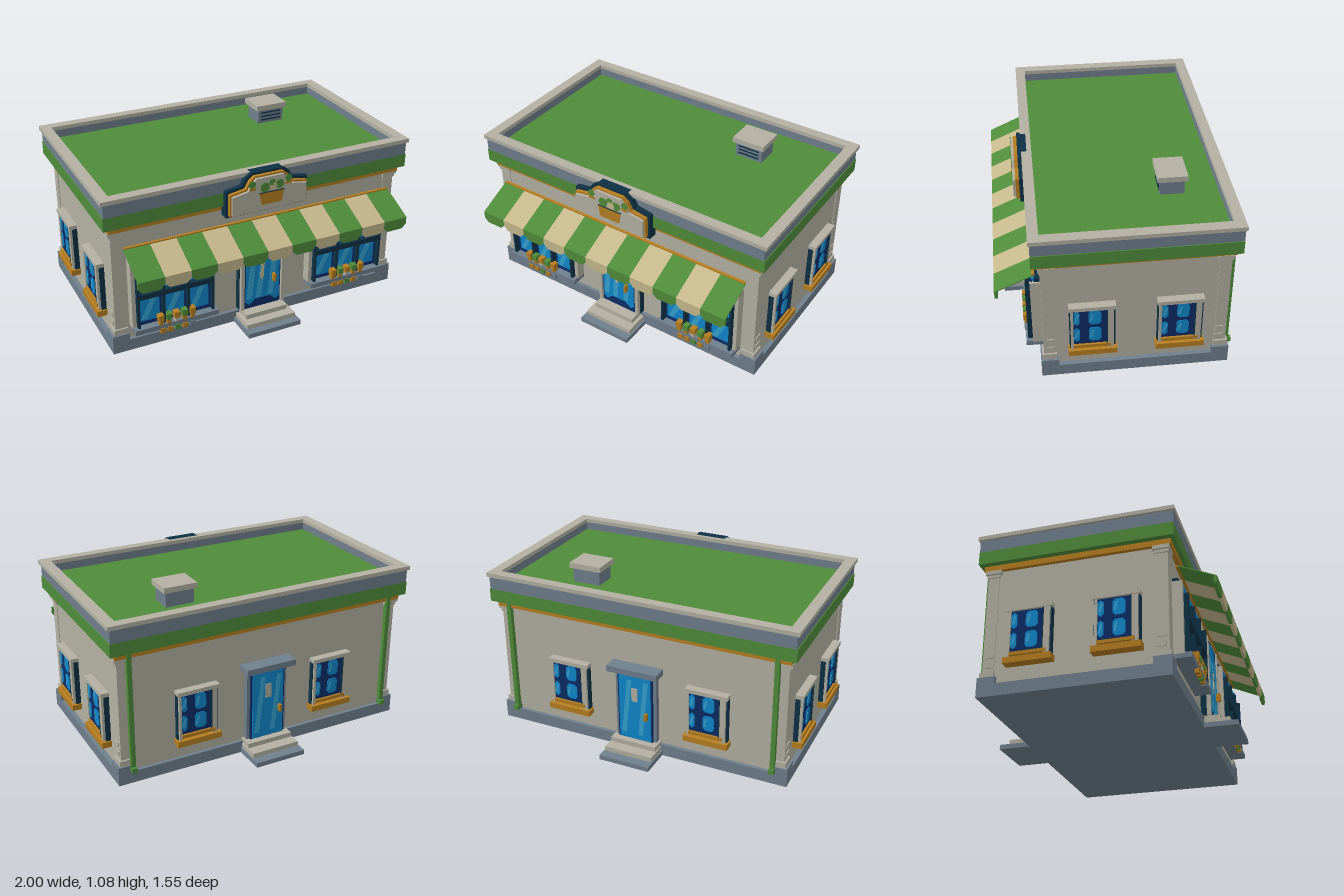
import * as THREE from 'three';

const M = {};
for (const [name, hex] of Object.entries({
  stone: 0xb3b0a2, slate: 0x6f7f8d, green: 0x4f8c3a, gold: 0xb67e20, navy: 0x0e3044,
  deepBlue: 0x0c2c66, blue: 0x0f88cc, lightBlue: 0x35a2d0, tan: 0xc6b88c,
})) M[name] = new THREE.MeshStandardMaterial({ color: hex, name });

const CZ = -0.02; // middle of the building in z

function add(parent, name, geo, mat) {
  const m = new THREE.Mesh(geo, M[mat]);
  m.name = name;
  parent.add(m);
  return m;
}
// box given by its limits
function box(parent, name, mat, x0, x1, y0, y1, z0, z1) {
  const m = add(parent, name, new THREE.BoxGeometry(x1 - x0, y1 - y0, z1 - z0), mat);
  m.position.set((x0 + x1) / 2, (y0 + y1) / 2, (z0 + z1) / 2);
  return m;
}
function polygon(points) {
  return new THREE.Shape(points.map(p => new THREE.Vector2(p[0], p[1])));
}
function plate(parent, name, mat, shape, z, depth = 0.004) {
  const m = add(parent, name, new THREE.ExtrudeGeometry(shape, { depth, bevelEnabled: false, curveSegments: 10 }), mat);
  m.position.z = z;
  return m;
}
// slanted reflection filling the height of a pane
function streak(parent, x, w, y0, y1, lean, z) {
  plate(parent, 'glassStreak', 'lightBlue', polygon([[x, y0], [x + w, y0], [x + w + lean, y1], [x + lean, y1]]), z, 0.002);
}
function group(parent, name, x = 0, y = 0, z = 0, ry = 0) {
  const g = new THREE.Group();
  g.name = name;
  g.position.set(x, y, z);
  g.rotation.y = ry;
  parent.add(g);
  return g;
}
// rectangular ring lying flat, from half sizes
function ring(parent, name, mat, ox, oz, ix, iz, y0, y1) {
  const s = polygon([[-ox, -oz], [ox, -oz], [ox, oz], [-ox, oz]]);
  s.holes.push(polygon([[-ix, -iz], [-ix, iz], [ix, iz], [ix, -iz]]));
  const m = add(parent, name, new THREE.ExtrudeGeometry(s, { depth: y1 - y0, bevelEnabled: false }), mat);
  m.rotation.x = -Math.PI / 2;
  m.position.set(0, y0, CZ);
}
const slab = (p, name, mat, hx, hz, y0, y1) => box(p, name, mat, -hx, hx, y0, y1, CZ - hz, CZ + hz);

// small sash window with gold sill, facing local +z
function sashWindow(parent, x) {
  const w = group(parent, 'sashWindow', x);
  box(w, 'outerFrame', 'navy', -0.132, 0.132, 0.21, 0.505, 0, 0.03);
  box(w, 'jambLeft', 'stone', -0.126, -0.11, 0.21, 0.505, 0, 0.045);
  box(w, 'jambRight', 'stone', 0.085, 0.122, 0.21, 0.505, 0, 0.045);
  box(w, 'lintel', 'stone', -0.135, 0.135, 0.5, 0.525, 0, 0.05);
  box(w, 'innerLine', 'navy', 0.081, 0.087, 0.24, 0.5, 0.03, 0.047);
  box(w, 'darkGlass', 'deepBlue', -0.11, 0.082, 0.24, 0.5, 0, 0.036);
  for (const y of [0.265, 0.39]) {
    for (const [a, b] of [[-0.108, -0.073], [-0.022, 0.05]]) {
      const c = 0.015, t = y + 0.1;
      plate(w, 'pane', 'blue', polygon([[a + c, y], [b - c, y], [b, y + c], [b, t - c], [b - c, t], [a + c, t], [a, t - c], [a, y + c]]), 0.036);
      streak(w, a + 0.004, 0.015, y + 0.025, t - 0.02, 0.012, 0.04);
    }
  }
  box(w, 'lowerRail', 'gold', -0.11, 0.105, 0.222, 0.243, 0, 0.05);
  box(w, 'sill', 'gold', -0.142, 0.142, 0.173, 0.21, 0, 0.06);
}

// wide shop window with goods on the sill
function shopWindow(parent, x) {
  const w = group(parent, 'shopWindow', x);
  box(w, 'outerFrame', 'navy', -0.255, 0.255, 0.17, 0.645, 0, 0.035);
  for (const s of [-1, 1]) box(w, 'jamb', 'stone', s * 0.255 - 0.012, s * 0.255 + 0.012, 0.17, 0.62, 0, 0.06);
  box(w, 'glass', 'blue', -0.235, 0.235, 0.18, 0.63, 0, 0.05);
  for (const px of [-0.235, -0.078, 0.078, 0.235]) {
    box(w, 'paneShade', 'deepBlue', px - 0.016, px + 0.016, 0.18, 0.63, 0.045, 0.055);
    box(w, 'mullion', 'navy', px - 0.007, px + 0.007, 0.18, 0.55, 0.05, 0.088);
  }
  box(w, 'transom', 'navy', -0.235, 0.235, 0.37, 0.402, 0.05, 0.088);
  box(w, 'bottomShade', 'deepBlue', -0.235, 0.235, 0.18, 0.2, 0.045, 0.055);
  for (const px of [-0.21, -0.055, 0.1]) {
    streak(w, px, 0.035, 0.21, 0.36, 0.07, 0.051);
    streak(w, px, 0.035, 0.41, 0.53, 0.06, 0.051);
  }
  box(w, 'sill', 'slate', -0.265, 0.265, 0.145, 0.177, 0, 0.1);
  ['gold', 'green', 'gold', 'green', 'gold'].forEach((c, i) => {
    const gx = -0.105 + i * 0.05;
    box(w, 'jar', i === 2 ? 'stone' : 'gold', gx - 0.012, gx + 0.012, 0.177, 0.205, 0.07, 0.105);
    box(w, 'goods', c, gx - 0.017, gx + 0.017, 0.205, 0.243, 0.07, 0.11);
  });
  ['gold', 'gold', 'green', 'gold', 'slate'].forEach((c, i) => {
    const gx = -0.095 + i * 0.047;
    box(w, 'hangingTag', c, gx - 0.016, gx + 0.016, 0.12, 0.152, 0.08, 0.106);
  });
}

function steps(parent, depths, widths) {
  depths.forEach((d, i) =>
    box(parent, 'step', i ? 'stone' : 'slate', -widths[i], widths[i], i * 0.03, i * 0.03 + 0.03, 0, d));
}

function frontDoor(parent) {
  const d = group(parent, 'frontDoor');
  box(d, 'outerFrame', 'navy', -0.155, 0.155, 0.09, 0.645, 0, 0.035);
  for (const s of [-1, 1]) box(d, 'jamb', 'stone', s * 0.138 - 0.011, s * 0.138 + 0.011, 0.09, 0.62, 0, 0.06);
  box(d, 'darkGlass', 'deepBlue', -0.122, 0.122, 0.09, 0.62, 0, 0.05);
  plate(d, 'glass', 'blue', polygon([[-0.115, 0.135], [-0.09, 0.115], [-0.05, 0.15], [0.05, 0.15], [0.09, 0.115], [0.115, 0.135], [0.115, 0.5], [0.06, 0.6], [-0.06, 0.6], [-0.115, 0.5]]), 0.05);
  for (const x of [-0.11, -0.045, 0.035]) streak(d, x, 0.035, 0.16, 0.5, 0.035, 0.054);
  plate(d, 'pullPlate', 'tan', polygon([[-0.01, 0.28], [0.005, 0.31], [0.003, 0.36], [0.012, 0.42], [-0.02, 0.42], [-0.012, 0.36], [-0.022, 0.31]]), 0.056);
  box(d, 'handle', 'gold', 0.062, 0.076, 0.26, 0.31, 0.05, 0.085);
  steps(d, [0.225, 0.175, 0.115], [0.178, 0.165, 0.14]);
}

function backDoor(parent) {
  const d = group(parent, 'backDoor');
  box(d, 'frame', 'slate', -0.135, 0.135, 0.085, 0.56, 0, 0.035);
  box(d, 'darkPanel', 'deepBlue', -0.115, 0.115, 0.085, 0.555, 0, 0.048);
  box(d, 'panel', 'blue', -0.105, 0.105, 0.095, 0.545, 0.04, 0.054);
  for (const x of [-0.09, 0.02]) streak(d, x, 0.03, 0.13, 0.5, 0.04, 0.053);
  box(d, 'plaque', 'stone', -0.02, 0.02, 0.36, 0.45, 0.05, 0.059);
  box(d, 'handle', 'gold', 0.07, 0.087, 0.25, 0.295, 0.05, 0.078);
  box(d, 'canopy', 'slate', -0.165, 0.165, 0.552, 0.59, 0, 0.095);
  steps(d, [0.22, 0.16, 0.09], [0.165, 0.157, 0.15]);
}

function awning(root) {
  const a = group(root, 'awning');
  box(a, 'rod', 'gold', -0.875, 0.875, 0.693, 0.708, 0.545, 0.562);
  const n = 11, w = 1.76 / n, c = 0.028;
  for (let i = 0; i < n; i++) {
    const mat = i % 2 ? 'tan' : 'green', x = -0.88 + i * w;
    const cloth = add(a, 'stripe', new THREE.BoxGeometry(w, 0.006, 0.242), mat);
    cloth.position.set(x + w / 2, 0.65, 0.665);
    cloth.rotation.x = Math.atan2(0.1, 0.22);
    plate(a, 'valance', mat, polygon([[x, 0.6], [x, 0.53 + c], [x + c, 0.53], [x + w - c, 0.53], [x + w, 0.53 + c], [x + w, 0.6]]), 0.757, 0.018);
  }
}

function sign(root) {
  const g = group(root, 'shopSign');
  const outline = d => polygon([[-0.265 + d, 0.772 + d], [0.265 - d, 0.772 + d], [0.265 - d, 0.938 - d], [0.165 - d, 0.955 - d],
    [0.14 - d, 1.0 - d], [0.1 - d * 0.5, 1.026 - d], [-0.1 + d * 0.5, 1.026 - d], [-0.14 + d, 1.0 - d], [-0.165 + d, 0.955 - d], [-0.265 + d, 0.938 - d]]);
  plate(g, 'signBack', 'navy', outline(0), 0.54, 0.056);
  plate(g, 'signRim', 'gold', outline(0.014), 0.596, 0.022);
  plate(g, 'signFace', 'stone', outline(0.024), 0.618, 0.016);
  // painted basket of produce
  plate(g, 'basket', 'gold', polygon([[-0.055, 0.832], [0.075, 0.832], [0.09, 0.905], [-0.072, 0.905]]), 0.634);
  plate(g, 'basketBand', 'navy', polygon([[-0.072, 0.905], [0.09, 0.905], [0.09, 0.91], [-0.072, 0.91]]), 0.634);
  for (const [x, y, r, c] of [[-0.035, 0.94, 0.03, 'green'], [0.02, 0.935, 0.024, 'tan'], [0.06, 0.945, 0.028, 'green'], [0.012, 0.965, 0.02, 'green']])
    plate(g, 'produce', c, new THREE.Shape().absarc(x, y, r, 0, Math.PI * 2), 0.633);
  for (const s of [-1, 1]) {
    plate(g, 'cornerLeaf', 'green', new THREE.Shape().absarc(s * 0.118, 0.972, 0.022, 0, Math.PI * 2), 0.633);
    plate(g, 'cornerBand', 'gold', polygon([[s * 0.115 - 0.02, 0.935], [s * 0.115 + 0.02, 0.935], [s * 0.115 + 0.02, 0.95], [s * 0.115 - 0.02, 0.95]]), 0.633);
  }
}

export function createModel() {
  const root = new THREE.Group();
  root.name = 'cornerShop';

  // body and layered cornice
  slab(root, 'plinth', 'slate', 0.965, 0.556, 0, 0.075);
  slab(root, 'walls', 'stone', 0.935, 0.534, 0.075, 0.8);
  slab(root, 'goldBand', 'gold', 0.955, 0.56, 0.803, 0.838);
  slab(root, 'greenBand', 'green', 0.99, 0.585, 0.838, 0.92);
  ring(root, 'parapet', 'slate', 0.985, 0.585, 0.935, 0.532, 0.92, 1.0);
  ring(root, 'parapetCap', 'stone', 1.0, 0.593, 0.934, 0.531, 1.0, 1.025);
  slab(root, 'roof', 'green', 0.936, 0.533, 0.92, 0.95);

  // corner piers with base, capital and quoins
  for (const sx of [-1, 1]) for (const sz of [-1, 1]) {
    const pier = (name, mat, ox, oz, size, y0, y1) => {
      const m = add(root, name, new THREE.BoxGeometry(size, y1 - y0, size), mat);
      m.position.set(sx * (ox - size / 2), (y0 + y1) / 2, CZ + sz * (oz - size / 2));
    };
    pier('pierFoot', 'slate', 0.965, 0.556, 0.105, 0, 0.118);
    pier('pierBase', 'stone', 0.951, 0.549, 0.085, 0.118, 0.155);
    pier('pier', 'stone', 0.94, 0.538, 0.07, 0.155, 0.76);
    pier('capital', 'stone', 0.947, 0.544, 0.082, 0.76, 0.782);
    pier('capitalTop', 'stone', 0.958, 0.55, 0.098, 0.78, 0.804);
    for (const y of [0.18, 0.24]) {
      const z = CZ + sz * 0.496;
      box(root, 'quoin', 'stone', sx * 0.94 - 0.006, sx * 0.94 + 0.006, y, y + 0.026, z - 0.024, z + 0.024);
    }
  }

  // the four sides, each built facing its own +z
  const front = group(root, 'frontSide', 0, 0, 0.516);
  shopWindow(front, -0.585);
  shopWindow(front, 0.585);
  frontDoor(front);
  const back = group(root, 'backSide', 0, 0, -0.556, Math.PI);
  backDoor(back);
  for (const s of [-1, 1]) {
    sashWindow(back, s * 0.46);
    box(back, 'drainPipe', 'green', s * 0.875 - 0.014, s * 0.875 + 0.014, 0.085, 0.84, 0.005, 0.033);
    box(back, 'pipeFoot', 'green', s * 0.875 - 0.016, s * 0.875 + 0.016, 0.08, 0.11, 0.005, 0.05);
    const side = group(root, 'endSide', s * 0.937, 0, CZ, s * Math.PI / 2);
    for (const t of [-1, 1]) sashWindow(side, t * 0.254);
  }

  awning(root);
  sign(root);

  // roof vent with louvres
  const vent = group(root, 'roofVent', 0.45, 0, -0.277);
  box(vent, 'ventBody', 'slate', -0.09, 0.09, 0.95, 1.045, -0.072, 0.072);
  box(vent, 'ventCap', 'stone', -0.106, 0.106, 1.042, 1.076, -0.088, 0.088);
  for (let i = 0; i < 3; i++) box(vent, 'louvre', 'navy', -0.07, 0.07, 0.968 + i * 0.024, 0.976 + i * 0.024, 0.07, 0.076);
  return root;
}
